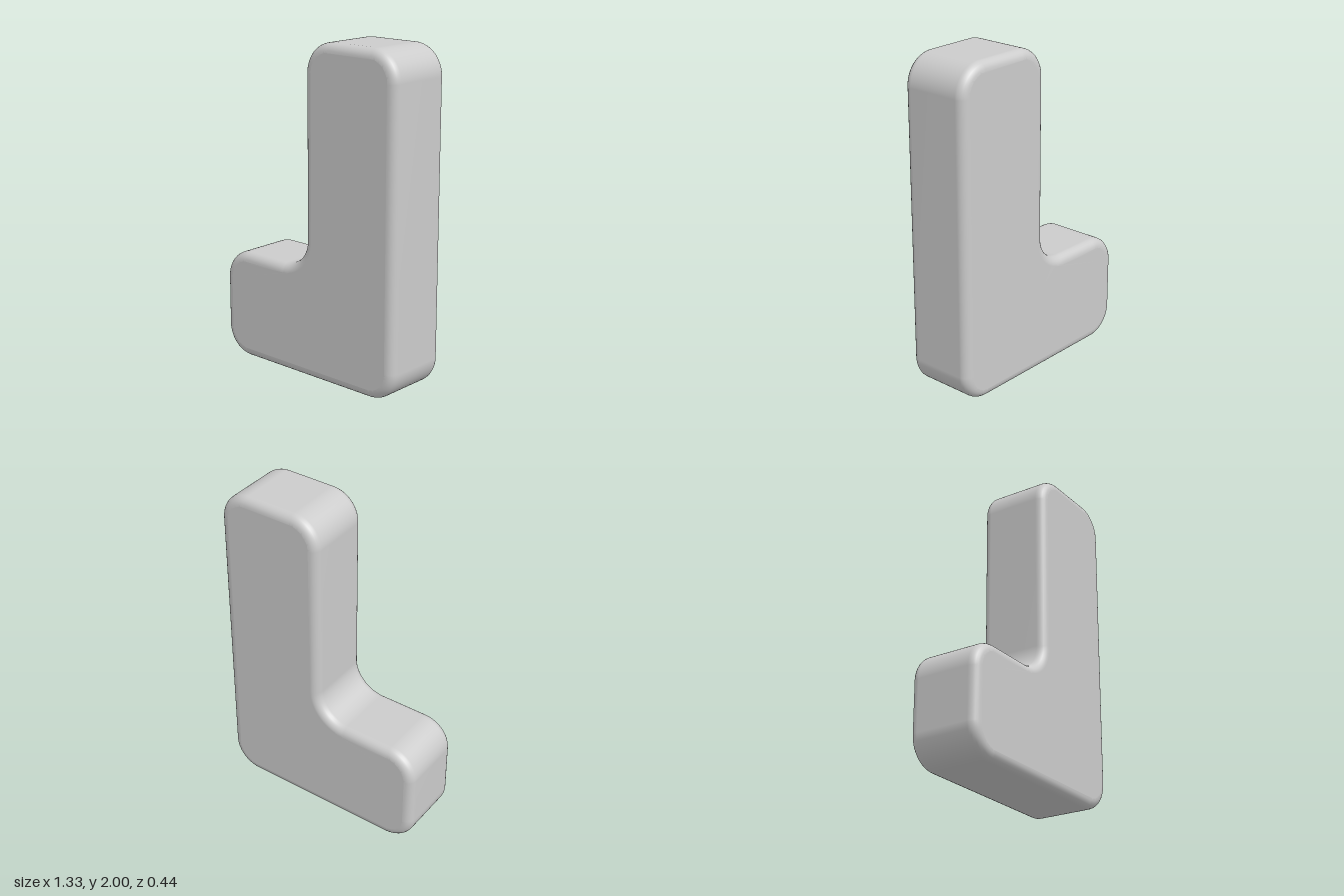
import * as THREE from 'three';
import { mergeVertices } from 'three/addons/utils/BufferGeometryUtils.js';

const HALF_WIDTH = 0.665, HEIGHT = 2, FOOT_HEIGHT = 0.667, HALF_DEPTH = 0.218;
const CORNER = 0.18, BEVEL = 0.055;

// Closed outline with every corner, inner or outer, rounded by the same radius
function roundedOutline(corners, radius) {
  const shape = new THREE.Shape();
  const points = corners.map(([x, y]) => new THREE.Vector2(x, y));
  points.forEach((p, i) => {
    const prev = points[(i + points.length - 1) % points.length];
    const next = points[(i + 1) % points.length];
    const toPrev = prev.clone().sub(p).normalize();
    const toNext = next.clone().sub(p).normalize();
    const start = p.clone().addScaledVector(toPrev, radius);
    const centre = start.clone().addScaledVector(toNext, radius);
    const from = start.clone().sub(centre).angle();
    const to = toPrev.clone().negate().angle();
    const clockwise = toPrev.cross(toNext) > 0;
    if (i === 0) shape.moveTo(start.x, start.y);
    else shape.lineTo(start.x, start.y);
    shape.absarc(centre.x, centre.y, radius, from, to, clockwise);
  });
  shape.closePath();
  return shape;
}

export function createModel() {
  const group = new THREE.Group();
  group.name = 'lShapedBlock';

  // Tall upright with a short foot on one side
  const outline = roundedOutline([
    [-HALF_WIDTH, 0], [HALF_WIDTH, 0], [HALF_WIDTH, HEIGHT],
    [0, HEIGHT], [0, FOOT_HEIGHT], [-HALF_WIDTH, FOOT_HEIGHT],
  ], CORNER);

  // Extrusion with softly rounded front and back edges
  const depth = 2 * (HALF_DEPTH - BEVEL);
  let geometry = new THREE.ExtrudeGeometry(outline, {
    depth, curveSegments: 12, bevelEnabled: true, bevelSegments: 6,
    bevelThickness: BEVEL, bevelSize: BEVEL, bevelOffset: -BEVEL,
  });
  geometry.translate(0, 0, -depth / 2);

  // Weld the faces so the shading is smooth all round
  geometry.deleteAttribute('uv');
  geometry.deleteAttribute('normal');
  geometry = mergeVertices(geometry, 1e-4);
  geometry.computeVertexNormals();

  const block = new THREE.Mesh(geometry, new THREE.MeshStandardMaterial({ color: 0xcccccc }));
  block.name = 'block';
  group.add(block);
  return group;
}
